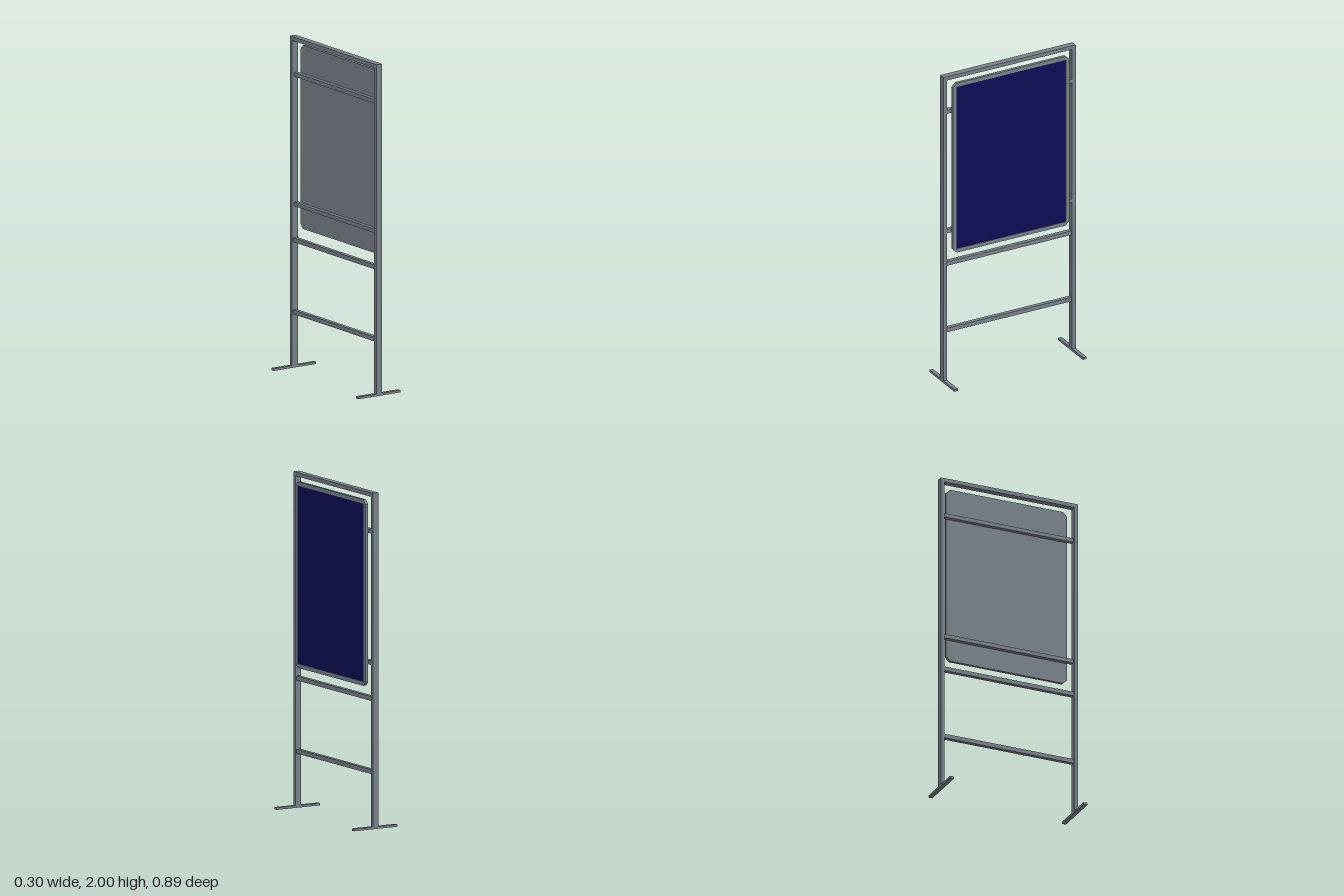
import * as THREE from 'three';

export function createModel() {
  const model = new THREE.Group();
  model.name = 'displayStand';

  const steel = new THREE.MeshStandardMaterial({ color: 0x78828a });
  steel.name = 'grey steel';
  const navy = new THREE.MeshStandardMaterial({ color: 0x0d0d56 });
  navy.name = 'navy board';

  const add = (name, geometry, material, x, y, z) => {
    const mesh = new THREE.Mesh(geometry, material);
    mesh.name = name;
    mesh.position.set(x, y, z);
    model.add(mesh);
    return mesh;
  };
  const box = (name, w, h, d, x, y, z, material = steel) =>
    add(name, new THREE.BoxGeometry(w, h, d), material, x, y, z);

  // Upright posts standing on flat feet
  const tube = 0.024;
  const postZ = 0.432;
  for (const [side, s] of [['front', 1], ['back', -1]]) {
    box(side + 'Post', 0.04, 2, tube, 0, 1, s * postZ);
    box(side + 'Foot', 0.3, 0.014, tube, 0, 0.007, s * postZ);
  }

  // Top rail, open lower rails and the braces behind the board
  const span = 2 * postZ - tube;
  box('topRail', 0.04, 0.024, span, 0, 1.988, 0);
  for (const y of [0.337, 0.772]) box('lowerRail', 0.026, 0.026, span, 0, y, 0);
  for (const y of [0.987, 1.769]) box('boardBrace', 0.026, 0.024, span, 0.007, y, 0);

  // Board frame: rectangle with clipped corners and a rectangular opening
  const w = 0.391, h = 0.554, c = 0.025;
  const iw = 0.367, ih = 0.53;
  const outline = () => new THREE.Shape([
    [-w + c, -h], [w - c, -h], [w, -h + c], [w, h - c],
    [w - c, h], [-w + c, h], [-w, h - c], [-w, -h + c],
  ].map(([x, y]) => new THREE.Vector2(x, y)));

  const boardY = 1.398;
  const backX = 0.02, backDepth = 0.008, frontX = 0.038;
  const slab = (name, shape, x, depth) => {
    const geometry = new THREE.ExtrudeGeometry(shape, { depth, bevelEnabled: false });
    geometry.rotateY(Math.PI / 2);
    add(name, geometry, steel, x, boardY, 0);
  };
  slab('boardBack', outline(), backX, backDepth);

  const rim = outline();
  rim.holes.push(new THREE.Path([
    [-iw, -ih], [-iw, ih], [iw, ih], [iw, -ih],
  ].map(([x, y]) => new THREE.Vector2(x, y))));
  slab('boardFrame', rim, backX + backDepth, frontX - backX - backDepth);

  // Board surface set slightly inside the frame
  box('boardPanel', 0.006, 2 * ih, 2 * iw, 0.031, boardY, 0, navy);

  return model;
}
